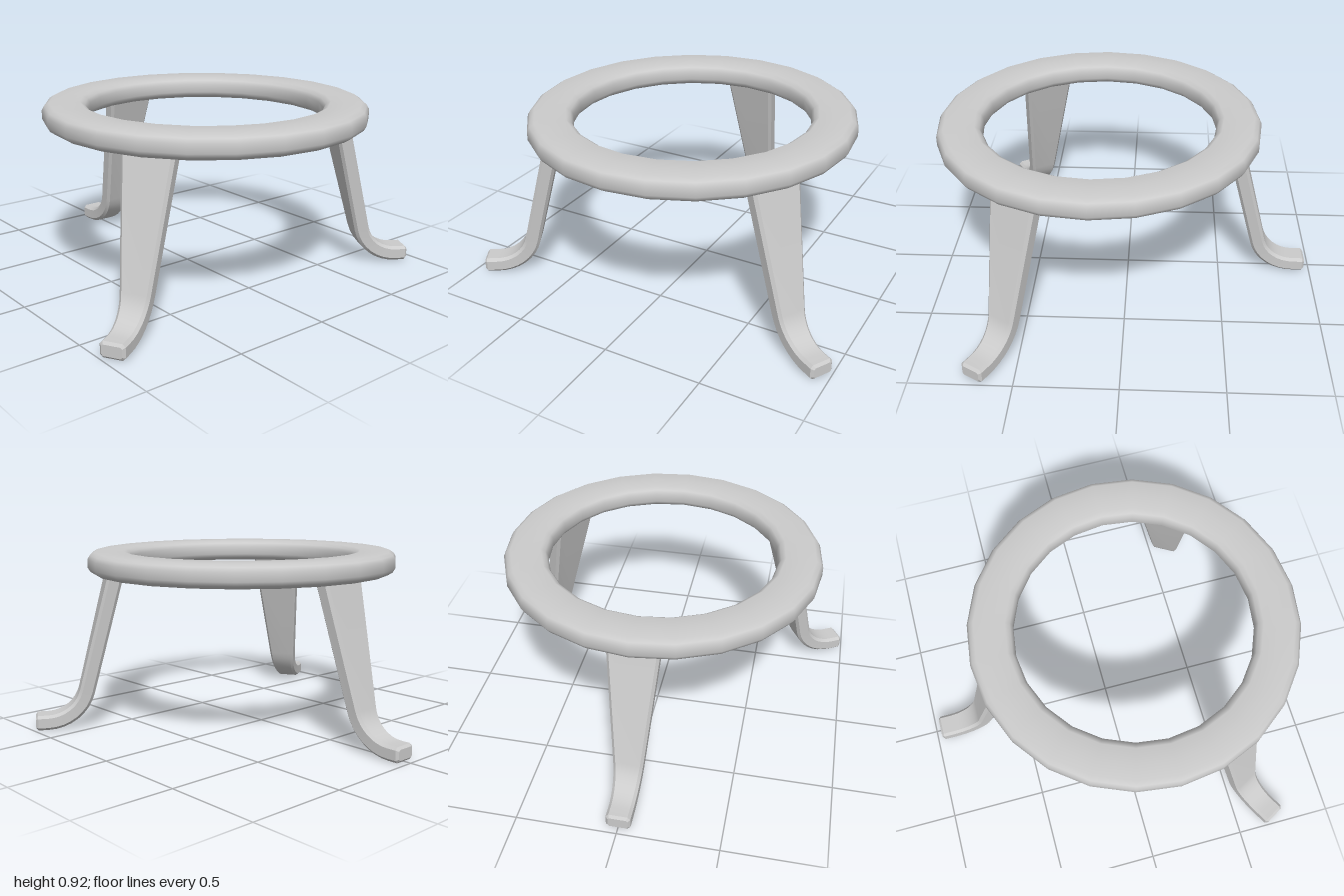
import * as THREE from 'three';
import { toCreasedNormals } from 'three/addons/utils/BufferGeometryUtils.js';

const material = new THREE.MeshStandardMaterial({ color: 0xcccccc, side: THREE.DoubleSide });

// Flattened ring with rounded edges, 24 sides
function ringGeometry() {
  const mid = 0.7075, y = 0.8625;
  const quarter = [[0.1125, 0.022], [0.1, 0.043], [0.077, 0.0575]];
  const back = [...quarter].reverse();
  const section = [
    [0, -0.0575],
    ...back.map(([a, b]) => [a, -b]),
    ...quarter,
    [0, 0.0575],
    ...back.map(([a, b]) => [-a, b]),
    ...quarter.map(([a, b]) => [-a, -b]),
    [0, -0.0575],
  ];
  return new THREE.LatheGeometry(section.map(([a, b]) => new THREE.Vector2(mid + a, y + b)), 24);
}

// Chamfered bar swept down a straight shank, round a bend and out along the foot
function legGeometry() {
  const stations = []; // radius, height, tangent angle, inset
  const lean = THREE.MathUtils.degToRad(14.7);
  const bend = 0.212, cx = 1.052, cy = 0.04 + bend;
  const startAngle = Math.PI + lean;
  const sx = cx + bend * Math.cos(startAngle), sy = cy + bend * Math.sin(startAngle);
  const topY = 0.85;
  stations.push([sx - (topY - sy) * Math.tan(lean), topY, startAngle, 0]);
  const steps = 8;
  for (let i = 0; i <= steps; i++) {
    const a = startAngle + (i / steps) * (1.5 * Math.PI - startAngle);
    stations.push([cx + bend * Math.cos(a), cy + bend * Math.sin(a), a, 0]);
  }
  stations.push([1.103, 0.04, 1.5 * Math.PI, 0], [1.115, 0.04, 1.5 * Math.PI, 0.012]);

  const positions = [], index = [], sides = 8, chamfer = 0.014;
  for (const [r, y, a, inset] of stations) {
    const w = 0.061 + 0.092 * Math.max(0, y - 0.04) - inset;
    const t = 0.039 - inset;
    const c = chamfer - inset * 0.5;
    const loop = [
      [w, -t + c], [w, t - c], [w - c, t], [-w + c, t],
      [-w, t - c], [-w, -t + c], [-w + c, -t], [w - c, -t],
    ];
    // the bend's centre lies on the upper, outer side of the leg
    for (const [u, n] of loop) positions.push(u, y - n * Math.sin(a), -(r - n * Math.cos(a)));
  }
  const last = (stations.length - 1) * sides;
  for (let k = 0; k < last; k += sides) {
    for (let j = 0; j < sides; j++) {
      const a = k + j, b = k + (j + 1) % sides;
      index.push(a, a + sides, b + sides, a, b + sides, b);
    }
  }
  for (let j = 1; j < sides - 1; j++) {
    index.push(0, j, j + 1, last, last + j + 1, last + j);
  }
  const geometry = new THREE.BufferGeometry();
  geometry.setAttribute('position', new THREE.Float32BufferAttribute(positions, 3));
  geometry.setIndex(index);
  return toCreasedNormals(geometry, Math.PI / 6);
}

export function createModel() {
  const model = new THREE.Group();
  model.name = 'tripodStand';
  const stand = new THREE.Group();
  stand.name = 'stand';
  stand.position.z = 0.145;
  model.add(stand);

  const ring = new THREE.Mesh(ringGeometry(), material);
  ring.name = 'topRing';
  stand.add(ring);

  // Three legs, evenly spaced; the first points to the back
  const geometry = legGeometry();
  ['backLeg', 'rightLeg', 'leftLeg'].forEach((name, i) => {
    const leg = new THREE.Mesh(geometry, material);
    leg.name = name;
    leg.rotation.y = i * 2 * Math.PI / 3;
    stand.add(leg);
  });
  return model;
}
